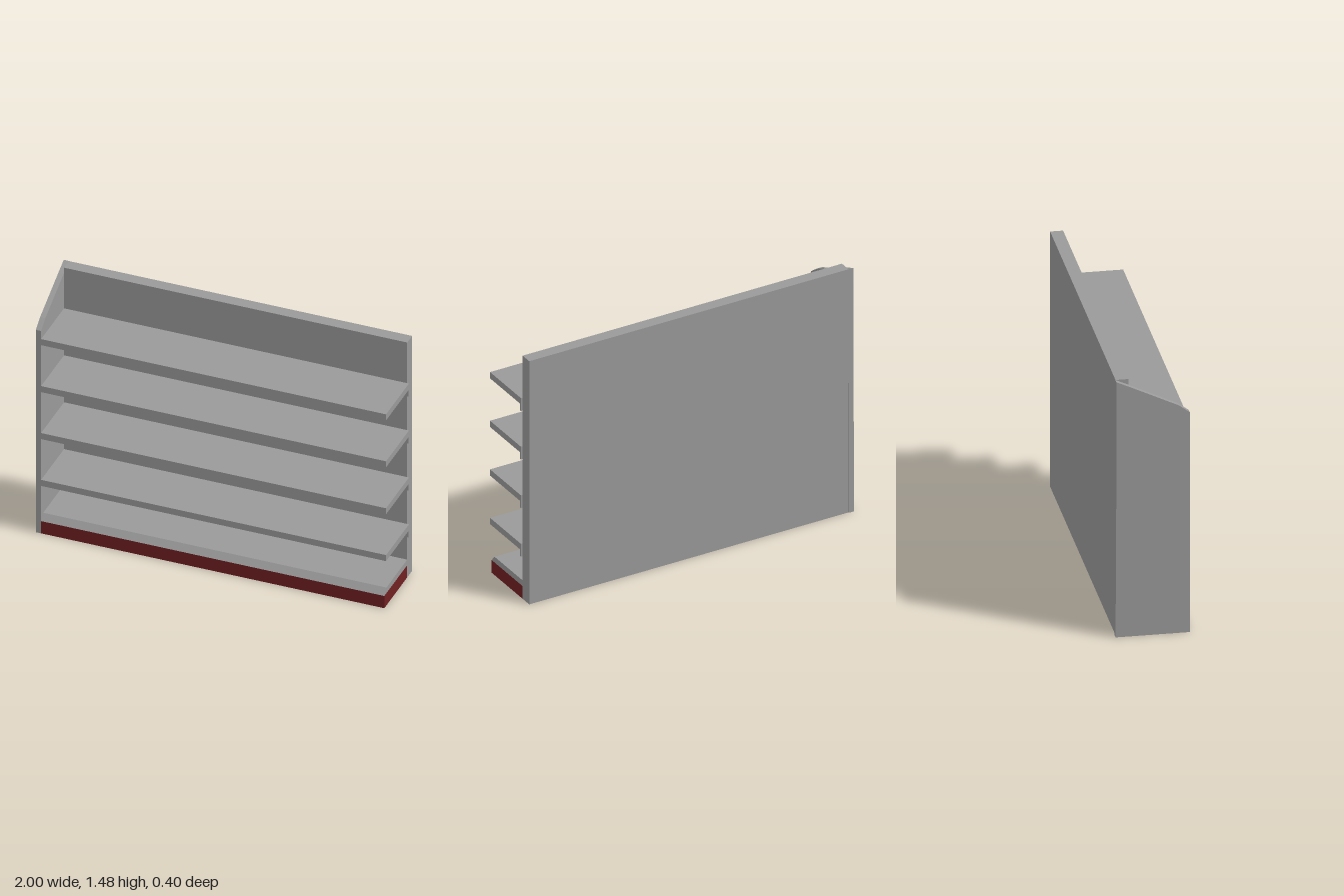
import * as THREE from 'three';

const grey = new THREE.MeshStandardMaterial({ color: 0x999999 });
grey.name = 'shelfGrey';
const red = new THREE.MeshStandardMaterial({ color: 0x701f22 });
red.name = 'plinthRed';

// Box given by its lower and upper corners
function box(name, [x0, y0, z0], [x1, y1, z1], material = grey) {
  const geometry = new THREE.BoxGeometry(x1 - x0, y1 - y0, z1 - z0);
  geometry.translate((x0 + x1) / 2, (y0 + y1) / 2, (z0 + z1) / 2);
  const mesh = new THREE.Mesh(geometry, material);
  mesh.name = name;
  return mesh;
}

// Side profile of [z, y] points, extruded along x from x0 to x1
function profile(name, points, x0, x1) {
  const shape = new THREE.Shape(points.map(([z, y]) => new THREE.Vector2(-z, y)));
  const geometry = new THREE.ExtrudeGeometry(shape, { depth: x1 - x0, bevelEnabled: false });
  geometry.rotateY(Math.PI / 2).translate(x0, 0, 0);
  const mesh = new THREE.Mesh(geometry, grey);
  mesh.name = name;
  return mesh;
}

export function createModel() {
  const group = new THREE.Group();
  group.name = 'shelvingUnit';

  const inner = -0.97, backFront = -0.125, front = 0.2;

  // Back wall and the single end panel with its sloping top
  group.add(box('backPanel', [inner, 0, -0.195], [0.99, 1.48, backFront]));
  group.add(profile('endPanel', [
    [-0.2, 0], [front, 0], [front, 1.275], [0.14, 1.32], [-0.12, 1.445], [-0.196, 1.48], [-0.196, 0.82],
  ], -1, inner));

  // Plinth: red on its exposed front and end, grey underneath
  group.add(box('plinth', [inner, 0, backFront], [0.99, 0.077, front],
    [red, grey, grey, grey, red, grey]));

  // Bottom shelf with a bevelled front edge
  group.add(profile('bottomShelf', [
    [backFront, 0.077], [front, 0.077], [0.17, 0.112], [backFront, 0.112],
  ], inner, 0.99));

  // Upper shelves, each with a thin fixing strip below its rear edge
  for (const top of [0.337, 0.632, 0.928, 1.224]) {
    const shelf = new THREE.Group();
    shelf.name = 'shelf';
    shelf.add(box('shelfBoard', [inner, top - 0.038, backFront], [1, top, front]));
    shelf.add(box('shelfStrip', [inner, top - 0.078, backFront], [1, top - 0.038, -0.117]));
    group.add(shelf);
  }
  return group;
}
